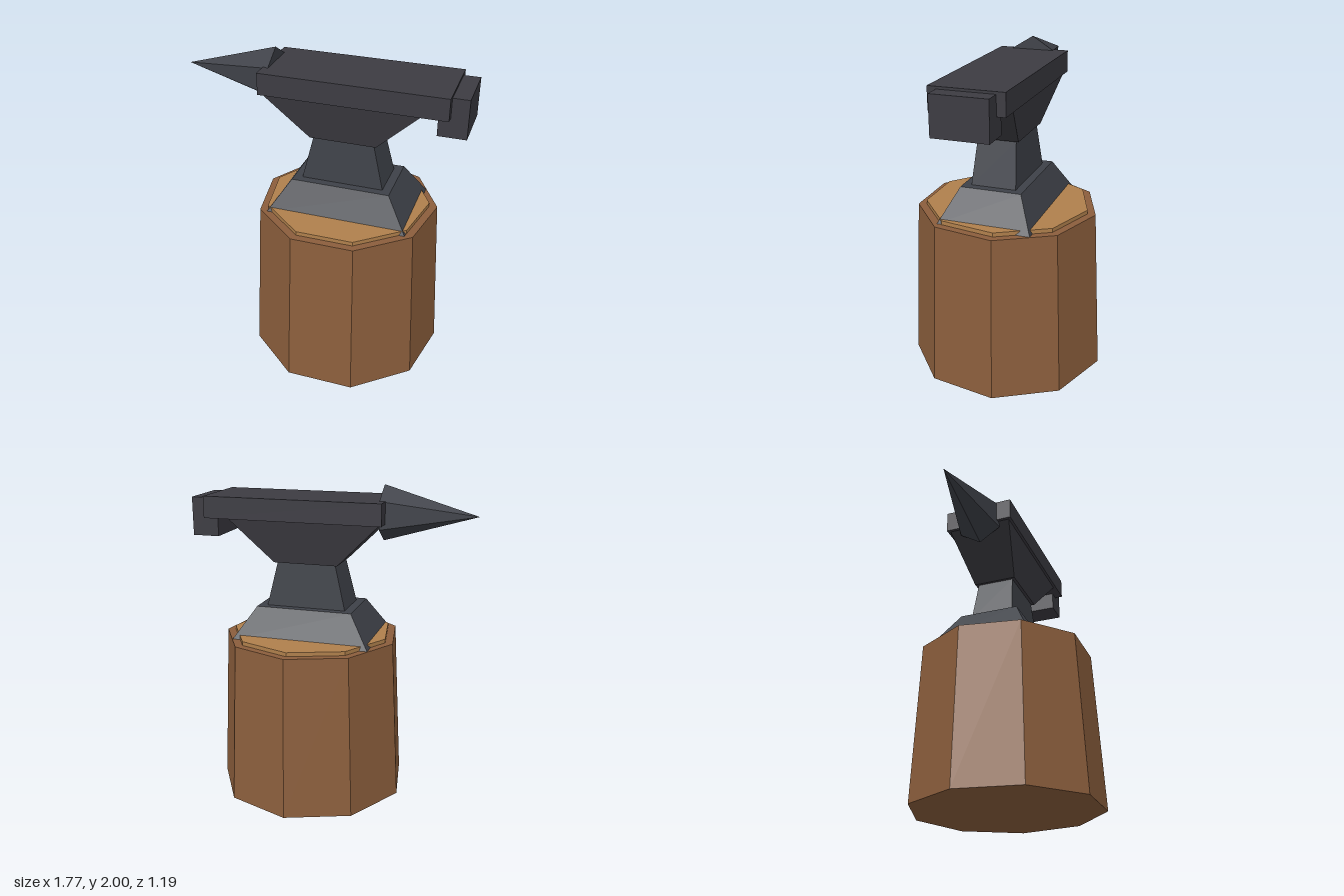
import * as THREE from 'three';

const CX = 0.153, CZ = 0.017; // common axis of stump and anvil

function flat(name, color) {
  const m = new THREE.MeshStandardMaterial({ color, flatShading: true });
  m.name = name;
  return m;
}

// Box whose bottom and top rectangles differ in size
function taperedBlock(y0, y1, bottom, top) {
  const g = new THREE.BoxGeometry(1, y1 - y0, 1);
  const p = g.attributes.position;
  for (let i = 0; i < p.count; i++) {
    const [w, d] = p.getY(i) < 0 ? bottom : top;
    p.setX(i, p.getX(i) * w);
    p.setZ(i, p.getZ(i) * d);
  }
  g.translate(0, (y0 + y1) / 2, 0);
  g.computeVertexNormals();
  return g;
}

// Nine-sided drum with one corner pointing to the back
function drum(y0, y1, rBottom, rTop) {
  return new THREE.CylinderGeometry(rTop, rBottom, y1 - y0, 9, 1, false, Math.PI)
    .translate(0, (y0 + y1) / 2, 0);
}

export function createModel() {
  const group = new THREE.Group();
  group.name = 'anvilOnStump';
  const bark = flat('bark', 0x8b5e3c);
  const cutWood = flat('cutWood', 0xb0804c);
  const iron = flat('iron', 0x3c3b42);
  const wornIron = flat('wornIron', 0x3e4148);

  const add = (name, geometry, material, x = CX) => {
    const mesh = new THREE.Mesh(geometry, material);
    mesh.name = name;
    mesh.position.set(x, 0, CZ);
    group.add(mesh);
  };

  // Wooden stump
  add('stump', drum(0, 1.03, 0.616, 0.564), bark);
  add('stumpTop', drum(1.02, 1.055, 0.513, 0.513), cutWood);

  // Anvil body, bottom to top
  add('foot', taperedBlock(1.03, 1.23, [0.88, 0.58], [0.615, 0.38]), wornIron);
  add('waist', taperedBlock(1.23, 1.51, [0.51, 0.28], [0.375, 0.24]), wornIron);
  add('shoulder', taperedBlock(1.51, 1.78, [0.41, 0.28], [0.955, 0.41]), iron);
  add('face', taperedBlock(1.78, 1.915, [1.13, 0.445], [1.13, 0.445]), iron, 0.22);
  add('heel', taperedBlock(1.66, 1.9, [0.17, 0.34], [0.17, 0.34]), iron, 0.8);

  // Six-sided horn pointing to -x
  const horn = new THREE.ConeGeometry(0.17, 0.575, 6, 1, false, Math.PI / 2)
    .rotateZ(Math.PI / 2)
    .scale(1, 1, 0.92)
    .translate(0, 1.83, 0);
  add('horn', horn, wornIron, -0.5975);

  return group;
}
